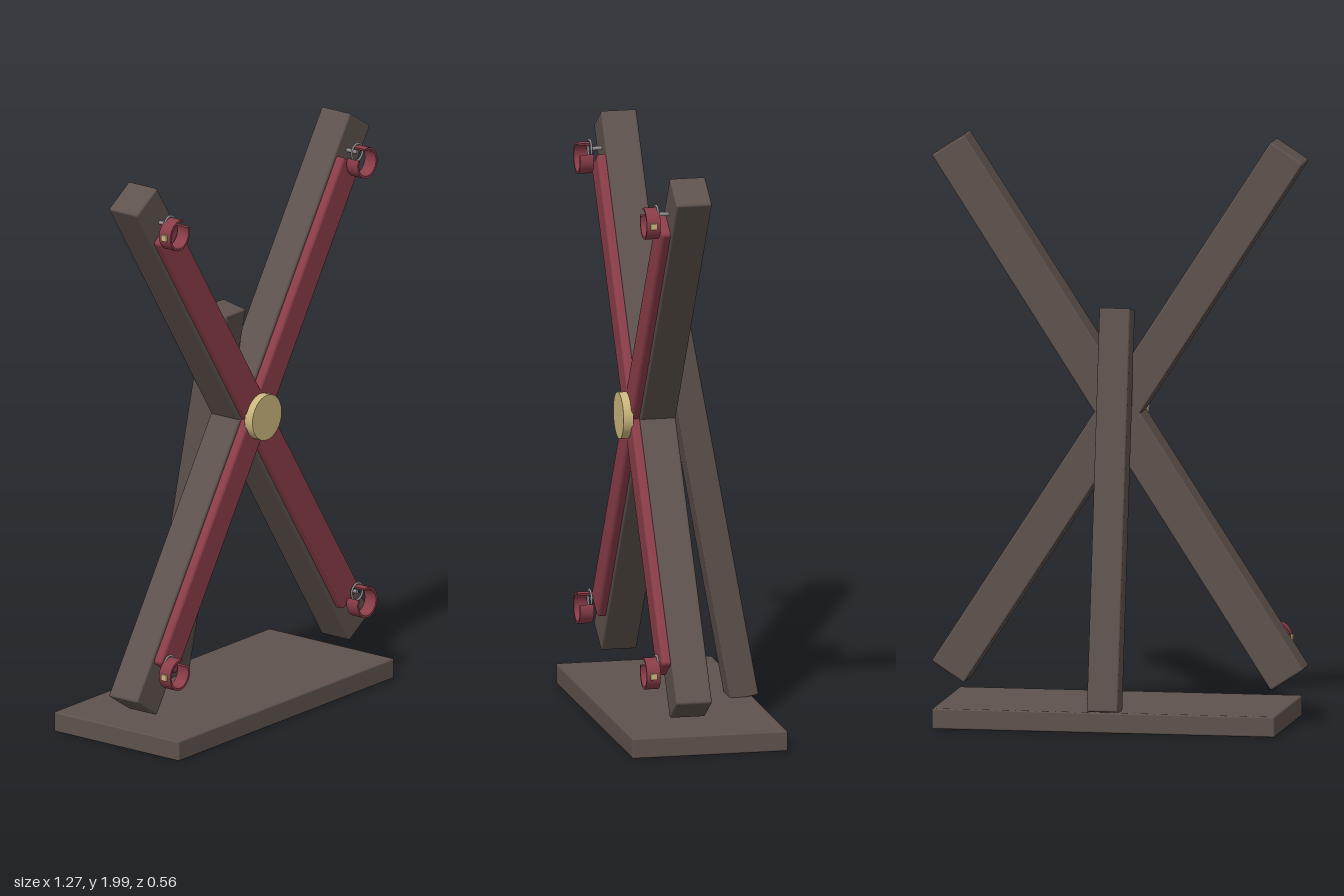
import * as THREE from 'three';
import { RoundedBoxGeometry } from 'three/addons/geometries/RoundedBoxGeometry.js';

const mat = (name, color) => {
  const m = new THREE.MeshStandardMaterial({ color });
  m.name = name;
  return m;
};

export function createModel() {
  const model = new THREE.Group();
  const wood = mat('dark wood', 0x5e524d);
  const leather = mat('red leather', 0x8a3d48);
  const brass = mat('brass', 0xcbb67c);
  const steel = mat('steel', 0x8c8c8c);

  const add = (name, geometry, material, x, y, z, parent = model) => {
    const mesh = new THREE.Mesh(geometry, material);
    mesh.name = name;
    mesh.position.set(x, y, z);
    parent.add(mesh);
    return mesh;
  };
  const box = (w, h, d, r) => new RoundedBoxGeometry(w, h, d, 2, r);

  // Floor plate and leaning rear post
  add('base', box(1.18, 0.07, 0.54, 0.006), wood, 0, 0.036, 0.01);
  const post = add('rearPost', box(0.106, 1.37, 0.1, 0.006), wood, 0, 0.742, -0.108);
  post.rotation.x = 0.18;

  // Crossed beams with padded fronts
  const hubY = 1.06, tilt = 0.574;
  for (const side of [1, -1]) {
    const beam = add('crossBeam', box(0.134, 2.15, 0.124, 0.008), wood, 0, hubY, 0.076);
    const pad = add('crossPad', box(0.11, 1.85, 0.04, 0.012), leather, 0, hubY, 0.148);
    beam.rotation.z = pad.rotation.z = -side * tilt;
  }

  // Round centre boss
  const boss = add('centreBoss', new THREE.CylinderGeometry(0.08, 0.08, 0.034, 32), brass, 0, hubY, 0.179);
  boss.rotation.x = Math.PI / 2;

  // Open band of a cuff, extruded along z
  const gap = 0.45, outer = 0.054, inner = 0.046;
  const band = new THREE.Shape();
  band.absarc(0, 0, outer, gap, Math.PI * 2 - gap, false);
  band.absarc(0, 0, inner, Math.PI * 2 - gap, gap, true);
  band.closePath();
  const bandGeo = new THREE.ExtrudeGeometry(band, { depth: 0.048, bevelEnabled: false, curveSegments: 24 });
  const ringGeo = new THREE.TorusGeometry(0.03, 0.004, 8, 24);

  // One cuff near each beam end, buckle facing outward
  for (const sx of [1, -1]) {
    for (const y of [1.842, 0.278]) {
      const cuff = new THREE.Group();
      cuff.name = 'cuff';
      cuff.position.set(sx * 0.513, y, 0.177);
      model.add(cuff);
      const strap = add('cuffBand', bandGeo, leather, 0, 0, 0, cuff);
      strap.rotation.z = sx > 0 ? 2.3 : 0.84;
      add('cuffBuckle', box(0.012, 0.022, 0.024, 0.002), brass, sx * 0.055, 0, 0.024, cuff);
      add('anchorRing', ringGeo, steel, 0, 0.03, 0.003, cuff);
      // Short staple holding the ring to the beam
      const staple = add('anchorStaple', new THREE.CylinderGeometry(0.007, 0.007, 0.045, 10), steel, 0, 0.03, -0.018, cuff);
      staple.rotation.x = Math.PI / 2;
    }
  }
  return model;
}
